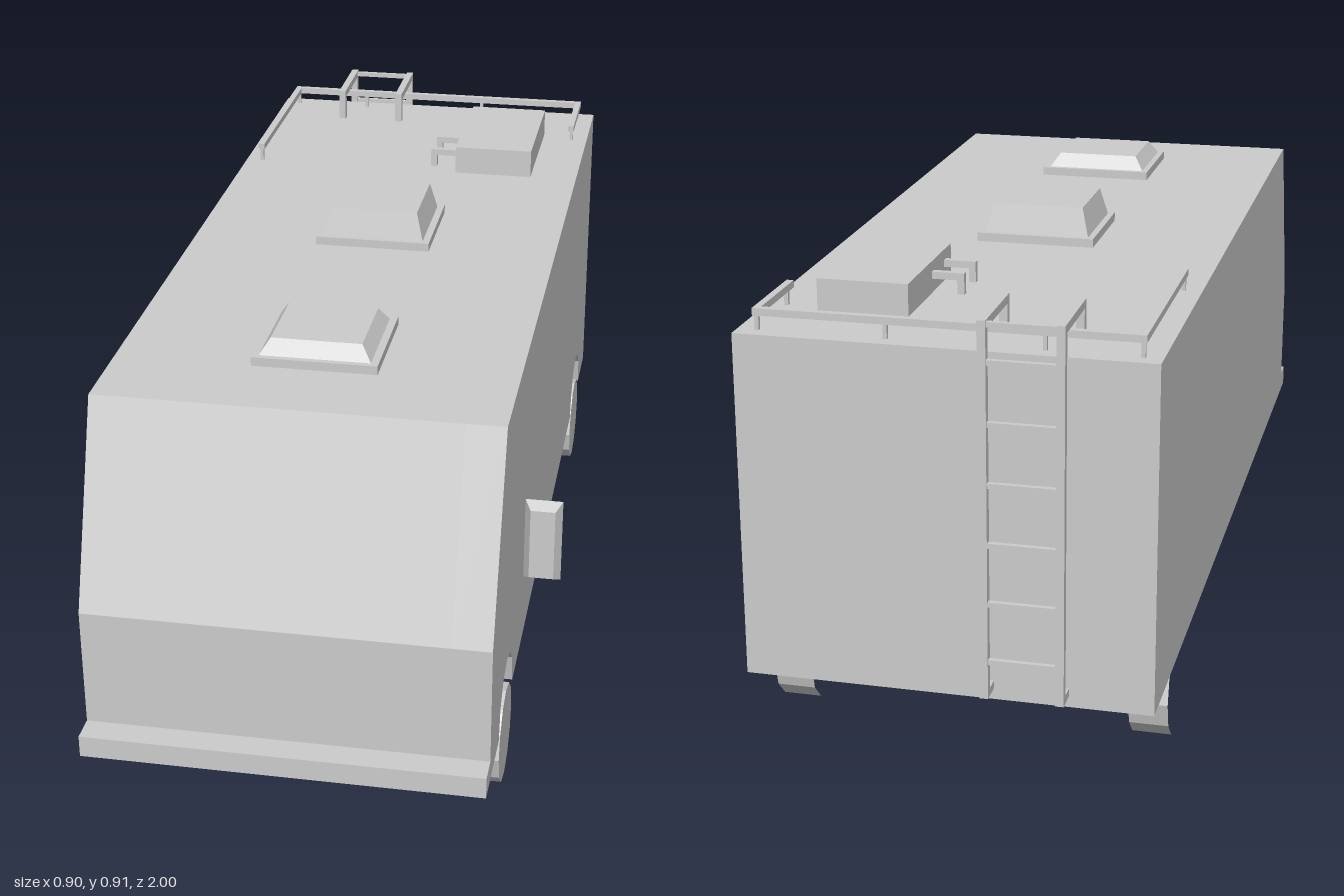
import * as THREE from 'three';

const grey = new THREE.MeshStandardMaterial({ color: 0xcccccc, flatShading: true });
const FLOOR = 0.155, ROOF = 0.837, LEFT = 0.342, RIGHT = -0.45, WELL = 0.265, AXLE = 0.705;

export function createModel() {
  const model = new THREE.Group();
  model.name = 'camperVan';

  function add(name, geometry, parent = model) {
    const mesh = new THREE.Mesh(geometry, grey);
    mesh.name = name;
    parent.add(mesh);
    return mesh;
  }

  function group(name) {
    const g = new THREE.Group();
    g.name = name;
    model.add(g);
    return g;
  }

  // Box given by its limits on each axis
  function box(name, [x0, x1], [y0, y1], [z0, z1], parent) {
    const g = new THREE.BoxGeometry(x1 - x0, y1 - y0, z1 - z0);
    g.translate((x0 + x1) / 2, (y0 + y1) / 2, (z0 + z1) / 2);
    return add(name, g, parent);
  }

  // Square bar between two points on one axis
  function bar(name, a, b, t, parent) {
    const lim = i => [Math.min(a[i], b[i]) - t / 2, Math.max(a[i], b[i]) + t / 2];
    return box(name, lim(0), lim(1), lim(2), parent);
  }

  // Box whose upper (+y) end is drawn in by inset on all sides
  function taperedBox(w, h, d, inset) {
    const g = new THREE.BoxGeometry(w, h, d);
    const p = g.attributes.position;
    for (let i = 0; i < p.count; i++) {
      if (p.getY(i) > 0) {
        p.setX(i, p.getX(i) - Math.sign(p.getX(i)) * inset);
        p.setZ(i, p.getZ(i) - Math.sign(p.getZ(i)) * inset);
      }
    }
    return g;
  }

  // Side profile (z, y) extruded across the width, with optional wheel arches
  function bodySlab(name, x0, x1, arches) {
    const pts = [[0.945, FLOOR], [0.945, 0.445], [0.797, ROOF], [-0.955, ROOF], [-0.955, FLOOR]];
    if (arches) {
      for (const z of [-AXLE, AXLE]) {
        for (let i = 0; i <= 6; i++) {
          const a = Math.PI * (1 - i / 6);
          pts.push([z + 0.107 * Math.cos(a), i % 6 ? 0.165 + 0.107 * Math.sin(a) : FLOOR]);
        }
      }
    }
    const shape = new THREE.Shape(pts.map(p => new THREE.Vector2(...p)));
    const g = new THREE.ExtrudeGeometry(shape, { depth: x1 - x0, bevelEnabled: false });
    g.rotateY(-Math.PI / 2);
    g.translate(x1, 0, 0);
    add(name, g);
  }
  bodySlab('body', RIGHT, WELL, false);
  bodySlab('archedSide', WELL, LEFT, true);
  box('frontBumper', [RIGHT, LEFT], [FLOOR, 0.2], [0.945, 1]);

  // Wheels: open rim with the outer disc on the left
  for (const [name, x, z] of [
    ['frontLeftWheel', WELL, AXLE],
    ['rearLeftWheel', WELL, -AXLE],
    ['rearRightWheel', RIGHT, -AXLE],
  ]) {
    const wheel = group(name);
    const width = LEFT - WELL;
    const rim = new THREE.CylinderGeometry(0.1, 0.1, width, 12, 1, true);
    rim.rotateZ(-Math.PI / 2);
    add('rim', rim, wheel);
    const disc = new THREE.CircleGeometry(0.1, 12);
    disc.rotateY(Math.PI / 2);
    disc.translate(width / 2, 0, 0);
    add('disc', disc, wheel);
    wheel.position.set(x + width / 2, 0.1, z);
  }

  // Roof hatches: flat frame with a tapered lid
  for (const [name, z, top] of [['frontHatch', 0.508, 0.885], ['rearHatch', -0.112, 0.914]]) {
    const hatch = group(name);
    box('frame', [-0.178, 0.07], [ROOF, 0.855], [z - 0.117, z + 0.117], hatch);
    const h = top - 0.855;
    const lid = add('lid', taperedBox(0.22, h, 0.21, top > 0.9 ? 0.015 : 0.02), hatch);
    lid.position.set(-0.055, 0.855 + h / 2, z);
  }

  // Roof unit and its two bent pipes
  const unit = group('roofUnit');
  box('housing', [0.057, 0.235], [ROOF, 0.9], [-0.785, -0.485], unit);
  for (const z of [-0.528, -0.615]) {
    bar('pipe', [0, 0.872, z], [0.057, 0.872, z], 0.014, unit);
    bar('pipeFoot', [0, ROOF, z], [0, 0.872, z], 0.014, unit);
  }

  // Roof rack rails and posts
  const rack = group('roofRack');
  const railY = 0.872, backZ = -0.922;
  bar('rightRail', [-0.413, railY, backZ], [-0.413, railY, -0.495], 0.014, rack);
  bar('backRail', [-0.413, railY, backZ], [0.304, railY, backZ], 0.014, rack);
  bar('leftRail', [0.304, railY, backZ], [0.304, railY, -0.745], 0.014, rack);
  for (const [x, z] of [[-0.413, -0.495], [-0.413, backZ], [-0.236, backZ],
    [0.06, backZ], [0.304, backZ], [0.304, -0.76]]) {
    bar('railPost', [x, ROOF, z], [x, railY, z], 0.008, rack);
  }

  // Rear ladder hooked over the roof edge
  const ladder = group('ladder');
  const ladderZ = -0.992, sides = [-0.281, -0.138];
  for (const x of sides) {
    bar('upright', [x, 0.185, ladderZ], [x, 0.9, ladderZ], 0.016, ladder);
    bar('hook', [x, 0.9, ladderZ], [x, 0.9, -0.83], 0.016, ladder);
    bar('hookFoot', [x, ROOF, -0.83], [x, 0.9, -0.83], 0.016, ladder);
    bar('standoff', [x, 0.185, ladderZ], [x, 0.185, -0.955], 0.016, ladder);
  }
  for (let i = 0; i < 7; i++) {
    const y = i === 6 ? 0.9 : 0.25 + i * 0.116;
    bar('rung', [sides[0], y, ladderZ], [sides[1], y, ladderZ], 0.01, ladder);
  }

  // Wing mirror, tapering towards the front
  const mirror = add('wingMirror', taperedBox(0.07, 0.022, 0.166, 0.012).rotateX(Math.PI / 2));
  mirror.position.set(0.414, 0.612, 0.815);

  return model;
}
